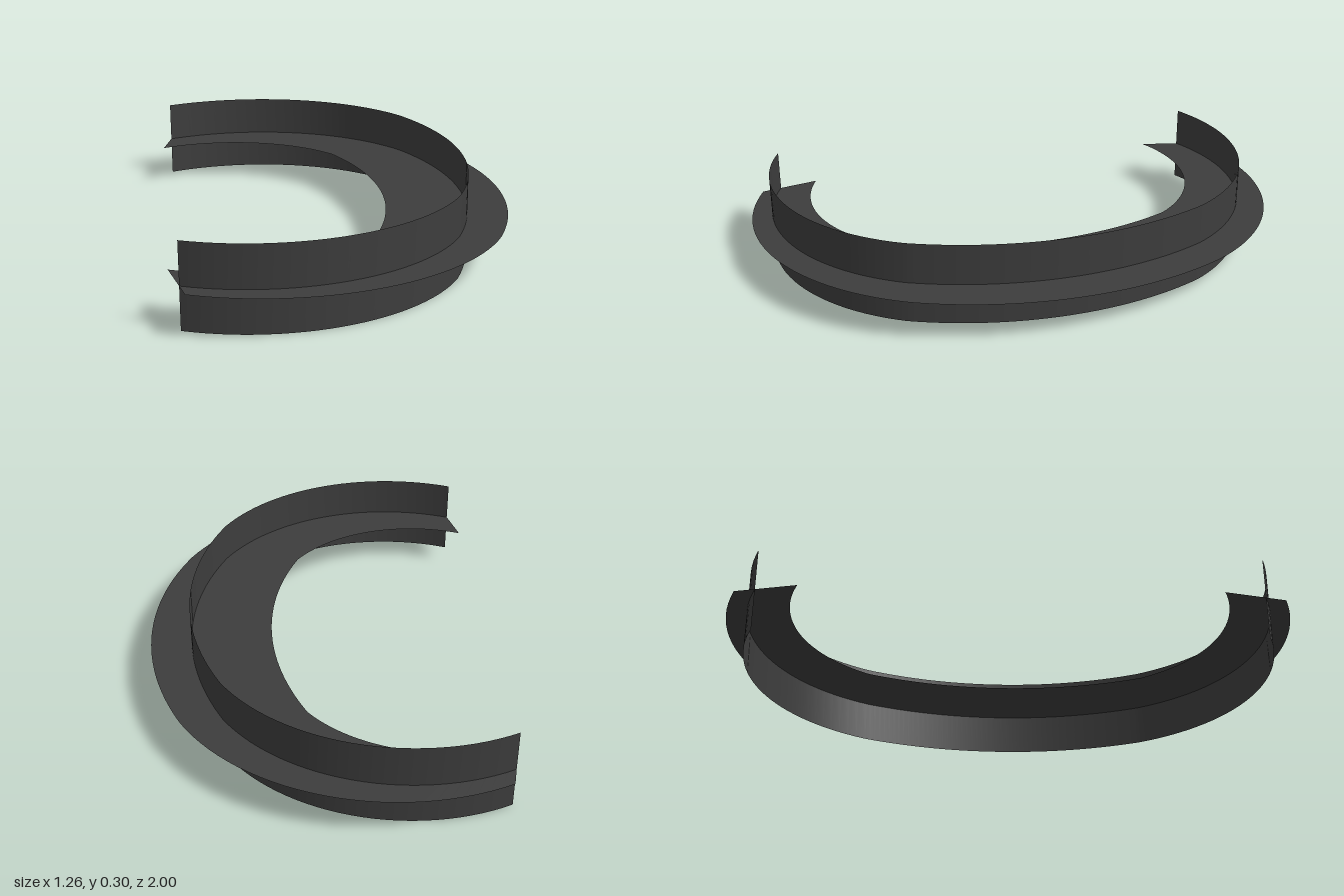
import * as THREE from 'three';

const material = new THREE.MeshStandardMaterial({ color: 0x3d3d3d, side: THREE.DoubleSide });

// Key points [x, z] of half a curve: middle, knee, widest point, tip
const INNER = [[0.18, 0], [0.065, 0.52], [-0.4, 0.76], [-0.63, 0.711]];
const OUTER = [[0.63, 0], [0.5, 0.56], [-0.24, 1], [-0.58, 0.928]];
const mix = (a, b, t) => a.map((p, i) => p.map((v, j) => v + (b[i][j] - v) * t));

// Symmetric open oval: a shallow arc in the middle and a tighter arc at each side
function ovalCurve([middle, knee, widest, tip], steps = 28) {
  const half = [];
  // Shallow arc, centred on z = 0
  const sag = middle[0] - knee[0];
  const R = (knee[1] ** 2 + sag ** 2) / (2 * sag);
  const sweep = Math.asin(knee[1] / R);
  for (let i = 0; i < steps; i++) {
    const a = (sweep * i) / steps;
    half.push([middle[0] - R + R * Math.cos(a), R * Math.sin(a)]);
  }
  // Tight arc, centred under the widest point
  const dx = knee[0] - widest[0], dz = widest[1] - knee[1];
  const r = (dx ** 2 + dz ** 2) / (2 * dz), cz = widest[1] - r;
  const from = Math.atan2(knee[1] - cz, dx);
  const to = Math.atan2(tip[1] - cz, tip[0] - widest[0]);
  for (let i = 0; i <= steps; i++) {
    const a = from + ((to - from) * i) / steps;
    half.push([widest[0] + r * Math.cos(a), cz + r * Math.sin(a)]);
  }
  return [...half.slice(1).reverse(), ...half.map(([x, z]) => [x, -z])];
}

// Thin surface between two curves, each at its own height
function ribbon(name, curveA, yA, curveB, yB) {
  const positions = [], index = [];
  curveA.forEach(([x, z], i) => {
    positions.push(x, yA, z, curveB[i][0], yB, curveB[i][1]);
    if (i) {
      const k = 2 * i;
      index.push(k - 2, k - 1, k, k - 1, k + 1, k);
    }
  });
  const geometry = new THREE.BufferGeometry();
  geometry.setAttribute('position', new THREE.Float32BufferAttribute(positions, 3));
  geometry.setIndex(index);
  geometry.computeVertexNormals();
  const mesh = new THREE.Mesh(geometry, material);
  mesh.name = name;
  return mesh;
}

export function createModel() {
  const group = new THREE.Group();
  group.name = 'crescentRail';

  // Flat crescent at mid height
  group.add(ribbon('crescentPlate', ovalCurve(INNER), 0.15, ovalCurve(OUTER), 0.15));

  // Upright band crossing the plate two thirds of the way out
  const bandCurve = ovalCurve(mix(INNER, OUTER, 2 / 3));
  group.add(ribbon('uprightBand', bandCurve, 0.3, bandCurve, 0));

  return group;
}
